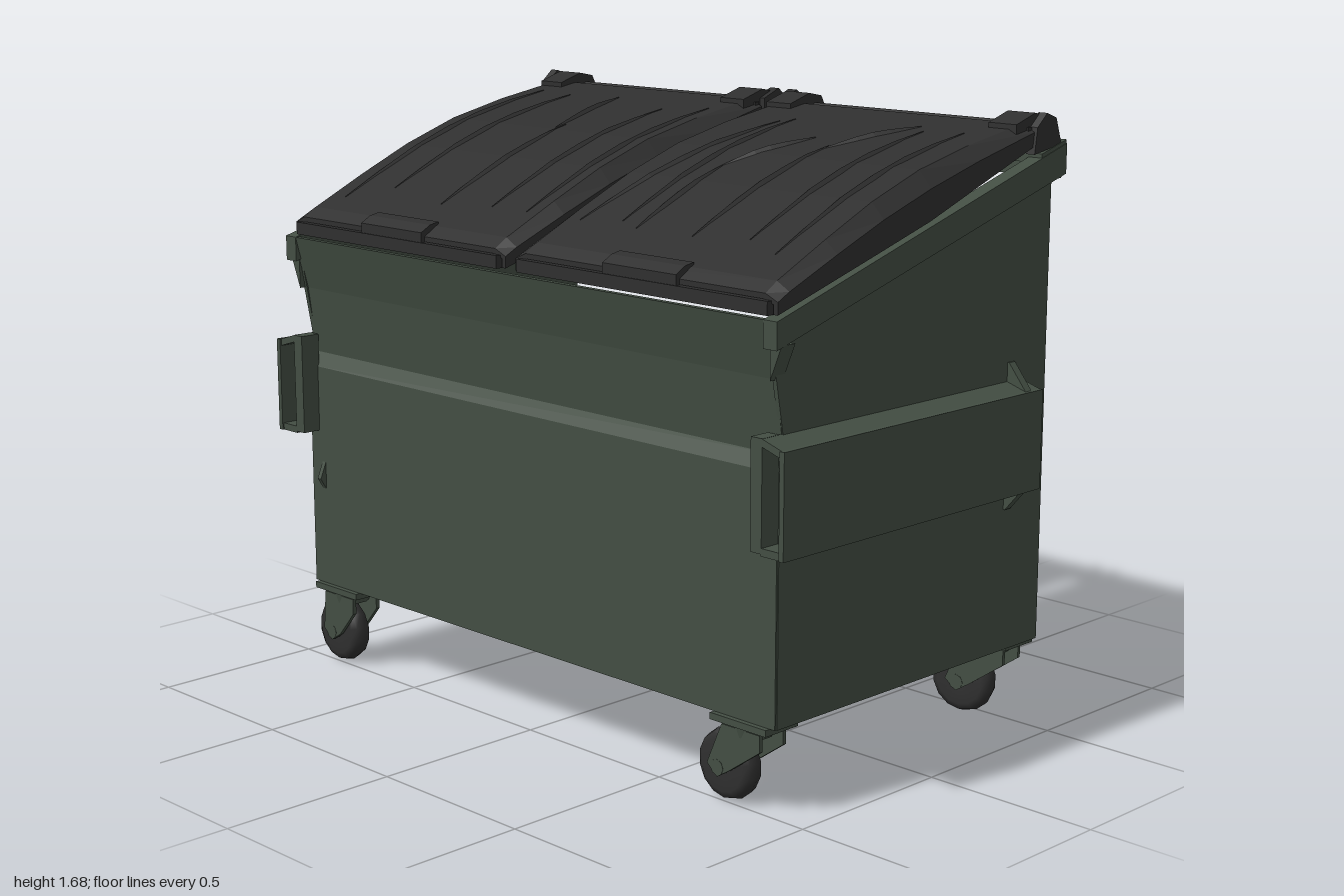
import * as THREE from 'three';

const green = new THREE.MeshStandardMaterial({ color: 0x434e43 });
green.name = 'green painted steel';
const black = new THREE.MeshStandardMaterial({ color: 0x2f2f2f });
black.name = 'black plastic';

function add(parent, name, geo, mat, x = 0, y = 0, z = 0) {
  const m = new THREE.Mesh(geo, mat);
  m.name = name;
  m.position.set(x, y, z);
  parent.add(m);
  return m;
}

// box given by its limits
function span(parent, name, mat, x0, x1, y0, y1, z0, z1) {
  return add(parent, name, new THREE.BoxGeometry(x1 - x0, y1 - y0, z1 - z0), mat,
    (x0 + x1) / 2, (y0 + y1) / 2, (z0 + z1) / 2);
}

// extrude a [z, y] outline along x
function extrudeX(points, x0, x1) {
  const shape = new THREE.Shape(points.map(p => new THREE.Vector2(p[0], p[1])));
  const geo = new THREE.ExtrudeGeometry(shape, { depth: x1 - x0, bevelEnabled: false });
  return geo.rotateY(-Math.PI / 2).translate(x1, 0, 0);
}

// extrude an [x, y] outline along z
function extrudeZ(points, z0, z1) {
  const shape = new THREE.Shape(points.map(p => new THREE.Vector2(p[0], p[1])));
  return new THREE.ExtrudeGeometry(shape, { depth: z1 - z0, bevelEnabled: false }).translate(0, 0, z0);
}

// closed faceted solid through clockwise rings, running from front to back
function loft(rings) {
  const n = rings[0].length, last = (rings.length - 1) * n, index = [];
  for (let i = 0; i < rings.length - 1; i++) {
    for (let j = 0; j < n; j++) {
      const a = i * n + j, d = i * n + (j + 1) % n, b = a + n, c = d + n;
      index.push(a, d, c, a, c, b);
    }
  }
  // end caps as strips between the two halves of the ring
  for (let k = 0; k + 1 < n - 1 - k; k++) {
    const p = n - 1 - k;
    index.push(k, p, k + 1, last + k, last + k + 1, last + p);
    if (k + 1 < p - 1) index.push(k + 1, p, p - 1, last + k + 1, last + p - 1, last + p);
  }
  const geo = new THREE.BufferGeometry();
  geo.setAttribute('position', new THREE.Float32BufferAttribute(rings.flat(2), 3));
  geo.setIndex(index);
  const flat = geo.toNonIndexed();
  flat.computeVertexNormals();
  return flat;
}

// lid heights by z
const lidBase = z => 1.277 + (0.565 - z) * 0.295 + Math.max(0, -z) * 0.07;
const crownPoints = [[0.55, 1.33], [0.51, 1.355], [0.34, 1.435], [0.17, 1.51], [-0.01, 1.573], [-0.2, 1.617], [-0.43, 1.657]];
function crown(z) {
  const i = Math.max(1, crownPoints.findIndex(p => z >= p[0]));
  const [za, ya] = crownPoints[i - 1], [zb, yb] = crownPoints[i];
  return ya + (yb - ya) * (za - z) / (za - zb);
}

function makeLid(name, x0, x1, ridges, handleX) {
  const lid = new THREE.Group();
  lid.name = name;
  // hollow crowned shell
  add(lid, 'lidShell', loft(crownPoints.map(([z, top]) => {
    const b = lidBase(z), e = b + (top - b) * 0.65, w = 0.014;
    return [[x0, b, z], [x0, e, z], [x0 + 0.04, top, z], [x1 - 0.04, top, z], [x1, e, z], [x1, b, z],
      [x1 - w, b, z], [x1 - w, e - w / 2, z], [x1 - 0.045, top - w, z], [x0 + 0.045, top - w, z], [x0 + w, e - w / 2, z], [x0 + w, b, z]];
  })), black);
  span(lid, 'lidRearEdge', black, x0 + 0.01, x1 - 0.01, 1.6, 1.65, -0.43, -0.415);
  // tapered stiffening ridges, some running at a slant
  for (const [xa, xb, za, zb] of ridges) {
    const rings = [];
    for (let i = 0; i <= 6; i++) {
      const t = i / 6, z = za + (zb - za) * t, x = xa + (xb - xa) * t, y = crown(z);
      const s = 0.15 + 0.85 * Math.sin(Math.PI * t);
      rings.push([[x - 0.035 * s, y - 0.006, z], [x - 0.004, y + 0.011 * s, z], [x + 0.01 * s, y - 0.006, z]]);
    }
    add(lid, 'lidRidge', loft(rings), black);
  }
  // front lip and grip
  span(lid, 'lidLip', black, x0 + 0.02, x1 - 0.02, 1.28, 1.315, 0.53, 0.565);
  add(lid, 'lidGrip', extrudeX([[0.562, 1.3], [0.562, 1.342], [0.53, 1.36], [0.5, 1.366], [0.5, 1.33]],
    handleX - 0.13, handleX + 0.13), black);
  // hinge straps
  for (const x of [x0 + 0.08, x1 - 0.06]) {
    add(lid, 'hingeStrap', extrudeX([[-0.37, 1.63], [-0.37, 1.66], [-0.45, 1.685], [-0.5, 1.675], [-0.53, 1.62], [-0.49, 1.6]],
      x - 0.045, x + 0.045), black);
  }
  return lid;
}

// swivel caster; wheel trails along its own local x
function makeCaster(x, z, angle, trail) {
  const c = new THREE.Group();
  c.name = 'caster';
  c.position.set(x, 0, z);
  span(c, 'casterPlate', green, -0.095, 0.095, 0.222, 0.24, -0.06, 0.06);
  const swivel = new THREE.Group();
  swivel.name = 'casterSwivel';
  swivel.rotation.y = angle;
  c.add(swivel);
  add(swivel, 'swivelRing', new THREE.CylinderGeometry(0.055, 0.05, 0.03, 10), green, 0, 0.208, 0);
  for (const s of [-1, 1]) {
    const w = s * 0.043;
    add(swivel, 'casterFork', extrudeZ([[-0.065, 0.215], [trail - 0.035, 0.1], [trail, 0.07], [trail + 0.04, 0.095], [0.065, 0.17], [0.065, 0.215]],
      w - 0.006, w + 0.006), green);
  }
  const tire = [[0.02, -0.03], [0.07, -0.032], [0.088, -0.022], [0.095, 0], [0.088, 0.022], [0.07, 0.032], [0.02, 0.03]]
    .map(p => new THREE.Vector2(p[0], p[1]));
  add(swivel, 'wheel', new THREE.LatheGeometry(tire, 14).rotateX(Math.PI / 2), black, trail, 0.095, 0);
  add(swivel, 'axle', new THREE.CylinderGeometry(0.022, 0.022, 0.1, 8).rotateX(Math.PI / 2), green, trail, 0.095, 0);
  return c;
}

export function createModel() {
  const model = new THREE.Group();
  model.name = 'wasteContainer';

  // open-backed bin
  const bin = new THREE.Group();
  bin.name = 'bin';
  model.add(bin);
  const side = [[0.515, 0.24], [0.515, 0.89], [0.495, 0.93], [0.55, 1.23], [-0.535, 1.55], [-0.535, 0.24]];
  span(bin, 'floor', green, -0.92, 0.92, 0.24, 0.25, -0.535, 0.515);
  add(bin, 'frontWall', extrudeX([[0.52, 0.24], [0.52, 0.89], [0.5, 0.93], [0.525, 1.12], [0.565, 1.27],
    [0.548, 1.27], [0.51, 1.12], [0.485, 0.93], [0.505, 0.89], [0.505, 0.24]], -0.922, 0.922), green);
  add(bin, 'backRim', extrudeX([[-0.535, 1.51], [-0.555, 1.53], [-0.555, 1.61], [-0.45, 1.58], [-0.45, 1.555], [-0.525, 1.57], [-0.525, 1.51]],
    -0.955, 0.955), green);

  for (const s of [-1, 1]) {
    const both = (a, b) => [Math.min(s * a, s * b), Math.max(s * a, s * b)];
    const mirror = pts => pts.map(([x, y]) => [s * x, y]);
    add(bin, 'sideWall', extrudeX(side, ...both(0.912, 0.925)), green);
    add(bin, 'sideRim', extrudeX([[0.565, 1.2], [0.565, 1.27], [-0.555, 1.6], [-0.555, 1.52]], ...both(0.912, 0.957)), green);
    // flared front corner
    add(bin, 'cornerFlare', extrudeZ(mirror([[0.92, 1.12], [0.957, 1.21], [0.92, 1.21]]), 0.5, 0.548), green);

    // lifting pocket: open tube along the side
    const pocket = new THREE.Group();
    pocket.name = s > 0 ? 'leftPocket' : 'rightPocket';
    model.add(pocket);
    span(pocket, 'pocketPlate', green, ...both(0.983, 0.998), 0.695, 0.965, -0.43, 0.58);
    add(pocket, 'pocketTop', extrudeZ(mirror([[0.92, 0.965], [0.985, 0.945], [0.985, 0.965], [0.92, 0.985]]), -0.43, 0.575), green);
    add(pocket, 'pocketBottom', extrudeZ(mirror([[0.92, 0.695], [0.985, 0.695], [0.985, 0.715], [0.92, 0.715]]), -0.43, 0.575), green);
    span(pocket, 'pocketInnerPlate', green, ...both(0.885, 0.922), 0.7, 0.985, 0.515, 0.575);
    add(pocket, 'pocketRearGuide', extrudeX([[-0.4, 0.71], [-0.4, 0.955], [-0.515, 0.93], [-0.515, 0.76]], ...both(0.922, 0.935)), green);
    add(pocket, 'upperGusset', extrudeZ(mirror([[0.92, 0.96], [0.99, 0.96], [0.93, 1.035], [0.92, 1.035]]), -0.395, -0.37), green);
    add(pocket, 'lowerGusset', extrudeZ(mirror([[0.92, 0.705], [0.99, 0.705], [0.93, 0.635], [0.92, 0.635]]), -0.395, -0.37), green);
    // hinge bracket at the rim end
    add(model, 'hingeBracket', extrudeX([[-0.42, 1.58], [-0.43, 1.65], [-0.47, 1.685], [-0.51, 1.67], [-0.535, 1.6]],
      ...both(0.925, 0.953)), black);
  }
  // small latch on the front
  add(bin, 'frontLatch', extrudeX([[0.515, 0.52], [0.54, 0.56], [0.515, 0.62]], -0.875, -0.86), green);

  // hinge rod and middle bracket
  add(model, 'hingeRod', new THREE.CylinderGeometry(0.017, 0.017, 1.88, 8).rotateZ(Math.PI / 2), black, 0, 1.64, -0.475);
  for (const x of [-0.035, 0.035]) {
    add(model, 'middleBracket', extrudeX([[-0.44, 1.57], [-0.44, 1.66], [-0.5, 1.685], [-0.56, 1.64], [-0.56, 1.57]],
      x - 0.016, x + 0.016), black);
  }

  // two lids with ridge paths [xFront, xBack, zFront, zBack]
  model.add(makeLid('rightLid', -0.925, -0.02, [
    [-0.82, -0.82, 0.45, -0.32], [-0.68, -0.68, 0.38, -0.3], [-0.43, -0.43, 0.42, -0.05], [-0.44, -0.49, -0.02, -0.32],
    [-0.24, -0.24, 0.4, -0.25], [-0.1, -0.1, 0.4, -0.3]], -0.48));
  model.add(makeLid('leftLid', 0.02, 0.945, [
    [0.11, 0.22, 0.4, -0.25], [0.25, 0.25, 0.38, -0.28], [0.32, 0.44, 0.08, -0.15], [0.32, 0.32, 0.4, 0.08],
    [0.52, 0.53, 0.4, -0.1], [0.53, 0.66, -0.08, -0.32], [0.7, 0.7, 0.38, -0.28], [0.82, 0.82, 0.42, -0.3]], 0.49));

  // four casters, one swivelled
  model.add(makeCaster(-0.81, 0.475, 0, -0.04));
  model.add(makeCaster(0.81, 0.475, 0, -0.08));
  model.add(makeCaster(0.81, -0.485, 0.15, -0.08));
  model.add(makeCaster(-0.81, -0.46, -Math.PI / 4, -0.045));
  return model;
}
